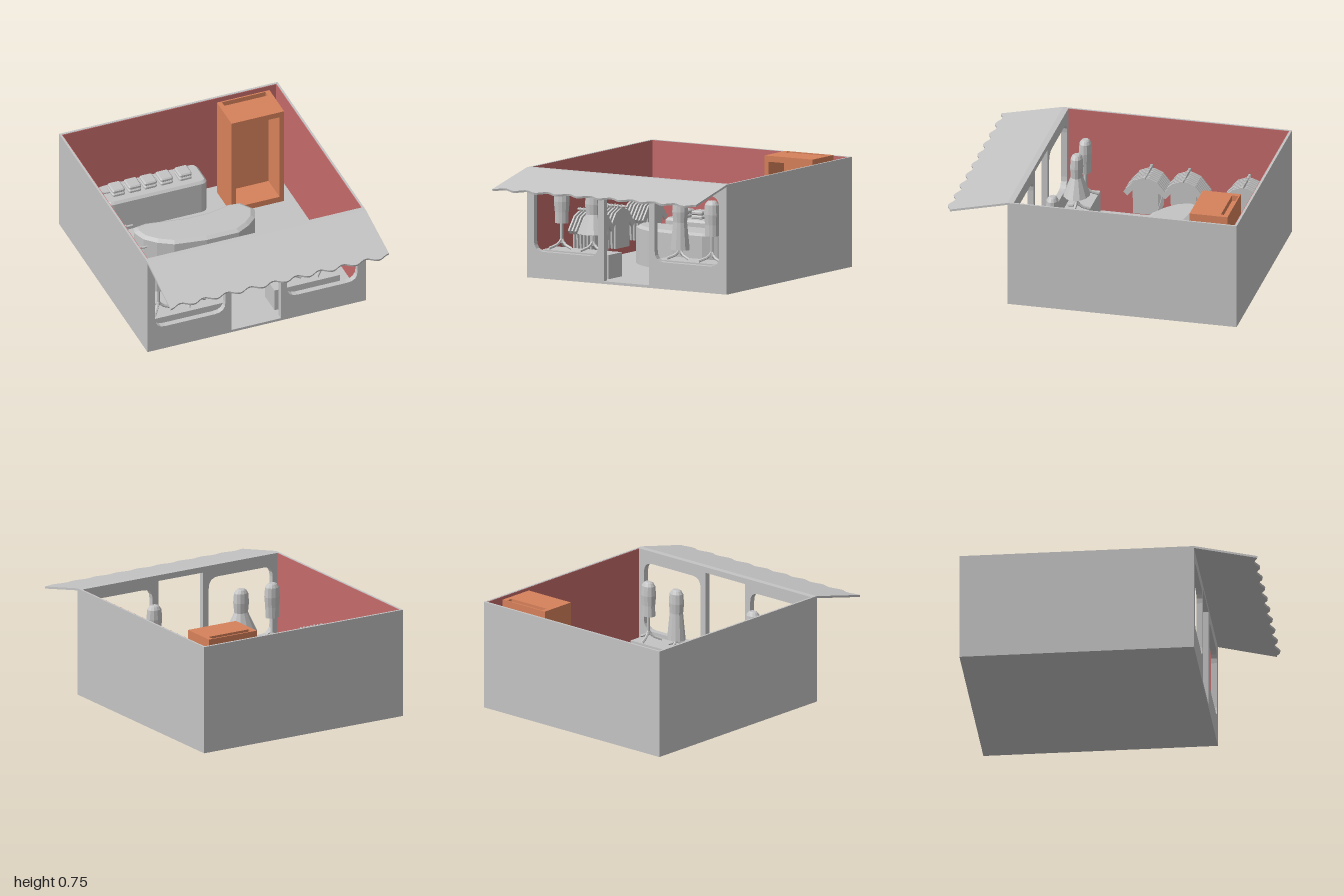
import * as THREE from 'three';

const grey = new THREE.MeshStandardMaterial({ color: 0xc4c4c4 });
grey.name = 'plaster grey';
const red = new THREE.MeshStandardMaterial({ color: 0xc46a6a });
red.name = 'wall red';
const orange = new THREE.MeshStandardMaterial({ color: 0xd6815a });
orange.name = 'wood orange';

function add(parent, name, geo, mat = grey) {
  const m = new THREE.Mesh(geo, mat);
  m.name = name;
  parent.add(m);
  return m;
}

// Box given by its limits on each axis
function box(parent, name, x0, x1, y0, y1, z0, z1, mat) {
  const m = add(parent, name, new THREE.BoxGeometry(x1 - x0, y1 - y0, z1 - z0), mat);
  m.position.set((x0 + x1) / 2, (y0 + y1) / 2, (z0 + z1) / 2);
  return m;
}

function flat(geo) {
  const g = geo.index ? geo.toNonIndexed() : geo;
  g.computeVertexNormals();
  return g;
}

function roundRect(path, x0, x1, y0, y1, r) {
  path.moveTo(x0 + r, y0);
  path.lineTo(x1 - r, y0).quadraticCurveTo(x1, y0, x1, y0 + r);
  path.lineTo(x1, y1 - r).quadraticCurveTo(x1, y1, x1 - r, y1);
  path.lineTo(x0 + r, y1).quadraticCurveTo(x0, y1, x0, y1 - r);
  path.lineTo(x0, y0 + r).quadraticCurveTo(x0, y0, x0 + r, y0);
  return path;
}

// Upright block with a bevelled rim; the outline is drawn in (x, -z)
function block(parent, name, shape, y0, y1, size, drop) {
  const geo = new THREE.ExtrudeGeometry(shape, {
    depth: y1 - y0 - 2 * drop, bevelEnabled: true, bevelSegments: 1,
    bevelSize: size, bevelOffset: -size, bevelThickness: drop, curveSegments: 4,
  });
  geo.rotateX(-Math.PI / 2);
  add(parent, name, geo).position.y = y0 + drop;
}

// Tapered garment form on a three-legged stand
function mannequin(parent, x, hem, hemRadius, turn) {
  const g = new THREE.Group();
  g.name = 'mannequin';
  g.position.set(x, 0, 0.38);
  parent.add(g);
  const profile = [[0, hem], [hemRadius, hem], [0.049, 0.43], [0.056, 0.5], [0.05, 0.565],
    [0.036, 0.585], [0.025, 0.592], [0, 0.592]].map(p => new THREE.Vector2(...p));
  add(g, 'garment', flat(new THREE.LatheGeometry(profile, 12))).scale.z = 0.8;
  const pole = add(g, 'pole', flat(new THREE.CylinderGeometry(0.011, 0.011, hem - 0.215, 8)));
  pole.position.y = (hem + 0.225) / 2;
  for (let i = 0; i < 3; i++) {
    const a = turn + i * Math.PI * 2 / 3, c = Math.cos(a), s = Math.sin(a);
    const leg = new THREE.CatmullRomCurve3([[0, 0.25], [0.025, 0.215], [0.09, 0.188]]
      .map(([r, y]) => new THREE.Vector3(r * c, y, r * s)));
    add(g, 'standLeg', flat(new THREE.TubeGeometry(leg, 4, 0.01, 6)));
  }
}

// Wall bar with seven hanging shirts
function clothesRack(parent, z) {
  const g = new THREE.Group();
  g.name = 'clothesRack';
  g.position.z = z;
  parent.add(g);
  const bar = add(g, 'bar', flat(new THREE.CylinderGeometry(0.008, 0.008, 0.235, 8)));
  bar.rotation.z = Math.PI / 2;
  bar.position.set(-0.66, 0.388, 0);
  const half = [[0.02, 0.375], [0.08, 0.35], [0.152, 0.26], [0.125, 0.235], [0.09, 0.275], [0.085, 0.11]];
  const outline = [...half, ...half.slice().reverse().map(([a, b]) => [-a, b])];
  const geo = new THREE.ExtrudeGeometry(new THREE.Shape(outline.map(p => new THREE.Vector2(...p))),
    { depth: 0.012, bevelEnabled: false });
  geo.rotateY(-Math.PI / 2);
  for (let i = 0; i < 7; i++) {
    const x = -0.753 + i * 0.0268;
    add(g, 'shirt', geo).position.x = x + 0.006;
    box(g, 'hangerHook', x - 0.004, x + 0.004, 0.365, 0.4, -0.008, 0.008);
  }
}

export function createModel() {
  const shop = new THREE.Group();
  shop.name = 'clothesShop';

  // Shell with red linings
  box(shop, 'floor', -0.79, 0.78, 0, 0.018, -1, 0.57);
  box(shop, 'backWall', -0.79, 0.78, 0.018, 0.74, -1, -0.984);
  box(shop, 'rightWall', -0.79, -0.776, 0.018, 0.74, -0.984, 0.53);
  box(shop, 'leftWall', 0.766, 0.78, 0.018, 0.74, -0.984, 0.53);
  box(shop, 'backLining', -0.776, 0.766, 0.018, 0.738, -0.984, -0.98, red);
  box(shop, 'rightLining', -0.776, -0.772, 0.018, 0.738, -0.98, 0.53, red);
  box(shop, 'leftLining', 0.762, 0.766, 0.018, 0.738, -0.98, 0.53, red);

  // Front wall with two windows and a doorway
  const front = roundRect(new THREE.Shape(), -0.79, 0.78, 0.001, 0.74, 0.0005);
  front.holes.push(
    roundRect(new THREE.Path(), -0.735, -0.23, 0.18, 0.655, 0.075),
    roundRect(new THREE.Path(), 0.213, 0.72, 0.18, 0.655, 0.075),
    roundRect(new THREE.Path(), -0.185, 0.168, 0.018, 0.7, 0.001));
  add(shop, 'frontWall', new THREE.ExtrudeGeometry(front,
    { depth: 0.04, bevelEnabled: false, curveSegments: 4 })).position.z = 0.53;

  // Sloping awning with a scalloped edge
  const edge = [new THREE.Vector2(0.78, 0), new THREE.Vector2(-0.79, 0)];
  for (let i = 0; i <= 95; i++) {
    const t = i / 95;
    edge.push(new THREE.Vector2(-0.795 + 1.58 * t, 0.422 + 0.016 * Math.cos(t * 9.5 * Math.PI * 2)));
  }
  const awning = add(shop, 'awning', new THREE.ExtrudeGeometry(new THREE.Shape(edge),
    { depth: 0.014, bevelEnabled: false }));
  awning.rotation.x = Math.PI / 2 + 0.222;
  awning.position.set(0, 0.74, 0.57);

  // Window plinths and mannequins
  box(shop, 'windowPlinth', -0.73, -0.21, 0.018, 0.18, 0.3, 0.47);
  box(shop, 'windowPlinth', 0.163, 0.632, 0.018, 0.18, 0.3, 0.47);
  mannequin(shop, -0.635, 0.355, 0.047, 0.15);
  mannequin(shop, -0.39, 0.3, 0.112, 0.15);
  mannequin(shop, 0.295, 0.245, 0.068, 0.3);
  mannequin(shop, 0.545, 0.355, 0.05, 0.3);

  // Curved central counter
  const kidney = [[-0.5, -0.38], [-0.48, -0.435], [-0.39, -0.45], [-0.12, -0.405], [0.04, -0.405],
    [0.2, -0.44], [0.28, -0.43], [0.345, -0.33], [0.31, -0.24], [0.24, -0.175], [0.15, -0.125],
    [-0.08, -0.125], [-0.3, -0.16], [-0.4, -0.22], [-0.47, -0.29]];
  block(shop, 'counter', new THREE.Shape(kidney.map(([x, z]) => new THREE.Vector2(x, -z))),
    0.001, 0.278, 0.028, 0.016);

  // Display table with folded clothes
  block(shop, 'displayTable', roundRect(new THREE.Shape(), -0.545, 0.18, 0.745, 0.97, 0.05),
    0.001, 0.262, 0.016, 0.016);
  for (const x of [-0.437, -0.32, -0.207, -0.092, 0.043]) {
    for (const y of [0.258, 0.287]) {
      block(shop, 'foldedClothes', roundRect(new THREE.Shape(), x - 0.045, x + 0.045, 0.805, 0.908, 0.015),
        y, y + 0.028, 0.008, 0.008);
    }
  }

  for (const z of [-0.715, -0.305, -0.045]) clothesRack(shop, z === -0.045 ? 0.045 - 0.085 + z + 0.04 : z);

  // Open-fronted wardrobe with a slot at the back of its top
  const wardrobe = new THREE.Group();
  wardrobe.name = 'wardrobe';
  shop.add(wardrobe);
  box(wardrobe, 'wardrobeSide', 0.31, 0.343, 0.018, 0.755, -0.915, -0.655, orange);
  box(wardrobe, 'wardrobeSide', 0.655, 0.688, 0.018, 0.755, -0.915, -0.655, orange);
  box(wardrobe, 'wardrobeTop', 0.343, 0.655, 0.715, 0.755, -0.862, -0.655, orange);
  box(wardrobe, 'wardrobeBase', 0.343, 0.655, 0.018, 0.06, -0.9, -0.655, orange);
  box(wardrobe, 'wardrobeBack', 0.343, 0.655, 0.018, 0.755, -0.915, -0.905, orange);
  box(wardrobe, 'wardrobePanel', 0.343, 0.655, 0.018, 0.715, -0.905, -0.85, orange);
  return shop;
}
